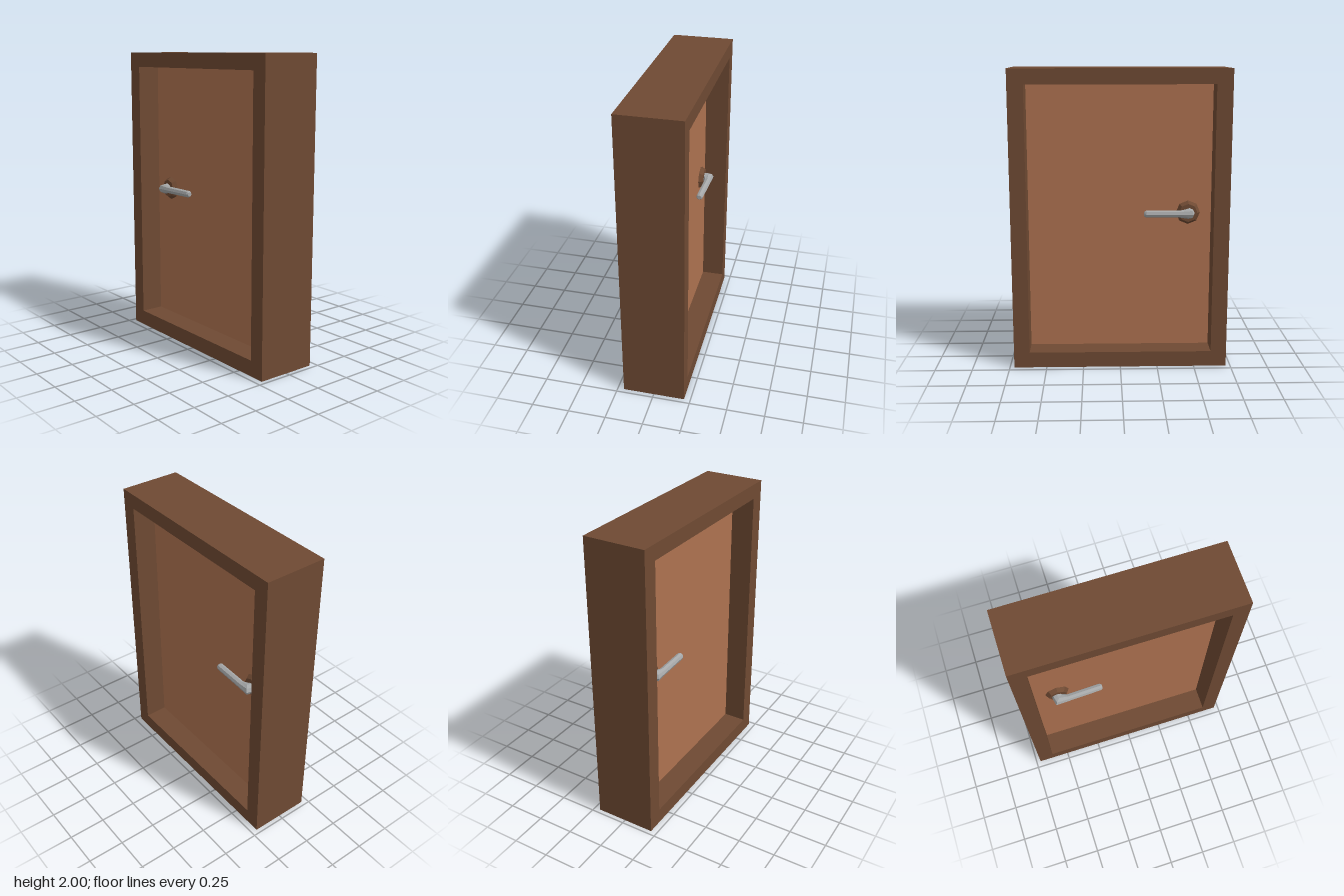
import * as THREE from 'three';

const darkWood = new THREE.MeshStandardMaterial({ color: 0x6f4a33, flatShading: true });
darkWood.name = 'dark wood';
const lightWood = new THREE.MeshStandardMaterial({ color: 0xae7250, flatShading: true });
lightWood.name = 'light wood';
const metal = new THREE.MeshStandardMaterial({ color: 0xa5a7a8, flatShading: true });
metal.name = 'metal';

const W = 1.44, H = 2, D = 0.415;         // frame
const OW = 1.23, OY0 = 0.105, OY1 = 1.9;  // opening
const PANEL = 0.1;                        // panel thickness

function addMesh(parent, name, geometry, material) {
  const mesh = new THREE.Mesh(geometry, material);
  mesh.name = name;
  parent.add(mesh);
  return mesh;
}

function rectangle(Type, x, y0, y1) {
  const p = new Type();
  p.moveTo(-x, y0);
  p.lineTo(x, y0);
  p.lineTo(x, y1);
  p.lineTo(-x, y1);
  p.closePath();
  return p;
}

// Lofts eight-sided rings along a path in the xz plane: [x, z, heading, halfHeight, halfWidth]
function loft(rings, sides = 8) {
  const pos = [], index = [];
  for (const [x, z, heading, ry, rn] of rings) {
    const tx = Math.cos(heading), tz = Math.sin(heading);
    for (let j = 0; j < sides; j++) {
      const t = (j / sides) * Math.PI * 2;
      const n = Math.sin(t) * rn;
      pos.push(x - tz * n, Math.cos(t) * ry, z + tx * n);
    }
  }
  for (let i = 0; i < rings.length - 1; i++) {
    for (let j = 0; j < sides; j++) {
      const a = i * sides + j, b = i * sides + (j + 1) % sides;
      index.push(a, b, b + sides, a, b + sides, a + sides);
    }
  }
  const g = new THREE.BufferGeometry();
  g.setAttribute('position', new THREE.Float32BufferAttribute(pos, 3));
  g.setIndex(index);
  g.computeVertexNormals();
  return g;
}

function makeHandle(name) {
  const handle = new THREE.Group();
  handle.name = name;

  // Tapered octagonal backplate
  const plate = new THREE.CylinderGeometry(0.062, 0.082, 0.03, 8);
  plate.rotateX(Math.PI / 2);
  plate.translate(-0.46, 0, PANEL / 2 + 0.014);
  addMesh(handle, 'backplate', plate, darkWood);

  // Neck bending into the lever
  const q = Math.PI / 2;
  addMesh(handle, 'lever', loft([
    [-0.466, 0.06, q, 0.034, 0.036],
    [-0.466, 0.09, q, 0.034, 0.036],
    [-0.458, 0.108, q / 2, 0.034, 0.045],
    [-0.405, 0.112, 0, 0.025, 0.025],
    [-0.175, 0.105, 0, 0.024, 0.024],
    [-0.162, 0.105, 0, 0.015, 0.015],
    [-0.162, 0.105, 0, 0, 0],
  ]), metal);
  handle.position.y = 1.04;
  return handle;
}

export function createModel() {
  const door = new THREE.Group();
  door.name = 'door';

  // Deep frame around the opening
  const outline = rectangle(THREE.Shape, W / 2, 0, H);
  outline.holes.push(rectangle(THREE.Path, OW / 2, OY0, OY1));
  const frame = new THREE.ExtrudeGeometry(outline, { depth: D, bevelEnabled: false });
  frame.translate(0, 0, -D / 2);
  addMesh(door, 'frame', frame, darkWood);

  // Panel recessed from both faces
  const panel = addMesh(door, 'panel', new THREE.BoxGeometry(OW, OY1 - OY0, PANEL), lightWood);
  panel.position.y = (OY0 + OY1) / 2;

  // One handle on each face, the back one turned over
  const back = makeHandle('backHandle');
  back.rotation.x = Math.PI;
  door.add(makeHandle('frontHandle'), back);

  return door;
}
